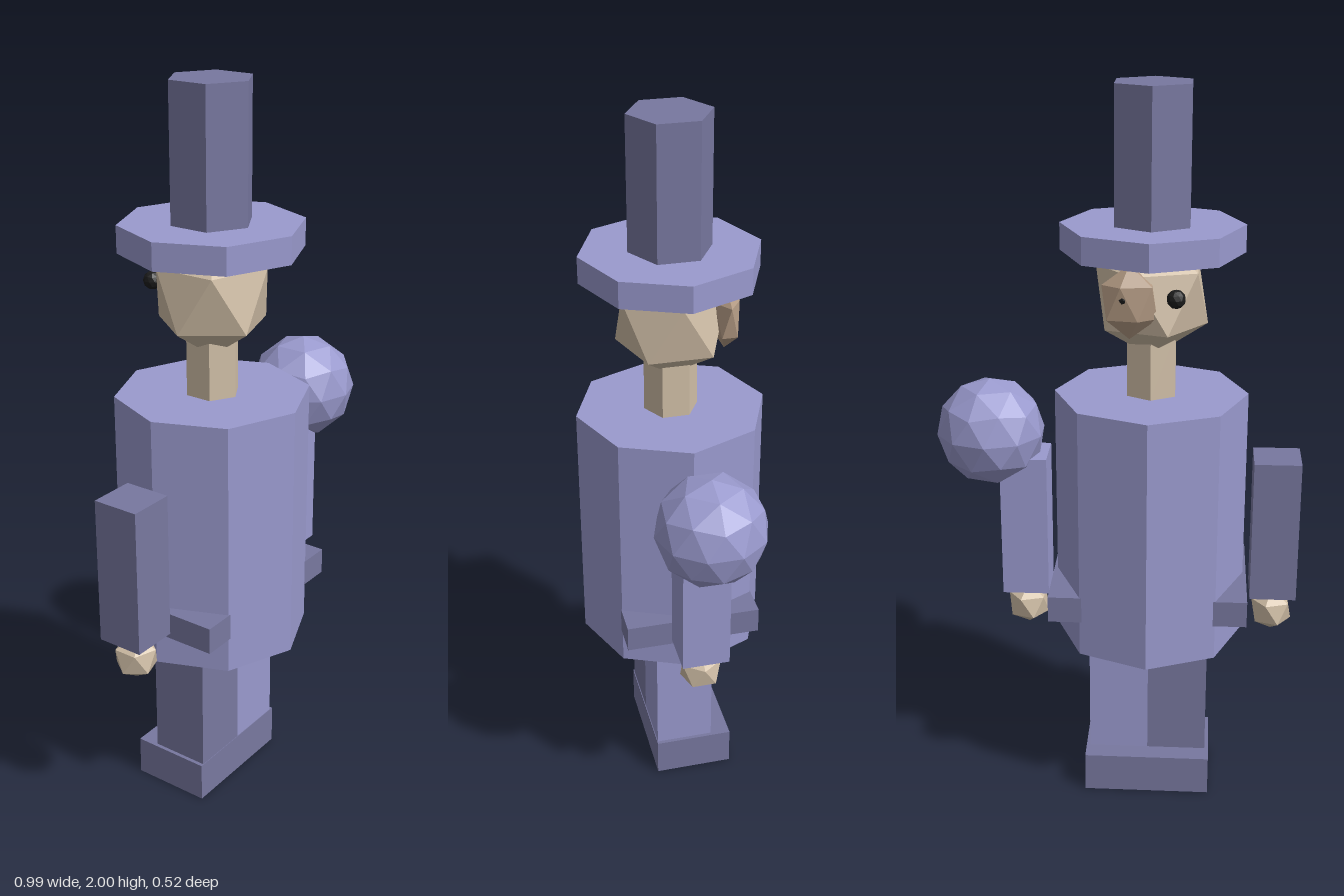
import * as THREE from 'three';

const COLORS = {
  light: 0x9a9ace, dark: 0x7878a0, skin: 0xd2c0a8, patch: 0xb59c85, black: 0x1c1c1c,
};

export function createModel() {
  const model = new THREE.Group();
  const figure = new THREE.Group();
  figure.name = 'figure';
  figure.position.x = -0.087;
  model.add(figure);

  const add = (name, geometry, color, x, y, z) => {
    const material = new THREE.MeshStandardMaterial({ color: COLORS[color], flatShading: true });
    const mesh = new THREE.Mesh(geometry, material);
    mesh.name = name;
    mesh.position.set(x, y, z);
    figure.add(mesh);
    return mesh;
  };
  // Upright prism between two heights, corners on the z axis
  const prism = (name, sides, r, y0, y1, color) =>
    add(name, new THREE.CylinderGeometry(r, r, y1 - y0, sides), color, 0, (y0 + y1) / 2, 0);
  const box = (name, w, y0, y1, d, color, x = 0, z = 0) =>
    add(name, new THREE.BoxGeometry(w, y1 - y0, d), color, x, (y0 + y1) / 2, z);
  // Icosphere turned so that a corner points straight up
  const poleTilt = -Math.atan(2 / (1 + Math.sqrt(5)));
  const ico = (r, detail = 0) => new THREE.IcosahedronGeometry(r, detail).rotateZ(poleTilt);

  // Coat and belt
  prism('coat', 8, 0.2625, 0.475, 1.183, 'light');
  box('belt', 0.544, 0.574, 0.648, 0.376, 'dark');

  // Feet share one block, toes towards the face side
  box('shoes', 0.355, 0, 0.113, 0.225, 'dark', 0, -0.0275);

  // Legs, arms and hands
  for (const [side, s, color] of [['left', 1, 'light'], ['right', -1, 'dark']]) {
    box(side + 'Leg', 0.167, 0.113, 0.475, 0.166, color, s * 0.0835);
    box(side + 'Arm', 0.129, 0.597, 1.003, 0.131, color, s * 0.347);
    add(side + 'Hand', ico(0.063), 'skin', s * 0.347, 0.538, 0);
    add(side + 'Eye', ico(0.025, 1), 'black', s * 0.066, 1.48, -0.143);
  }

  // Ball on the left shoulder
  add('shoulderBall', ico(0.149, 1), 'light', 0.44, 1.063, 0);

  // Neck, head and the flat oval over one eye
  prism('neck', 6, 0.074, 1.183, 1.36, 'skin');
  add('head', ico(0.166), 'skin', 0, 1.456, 0).scale.y = 1.04;
  add('eyePatch', ico(1), 'patch', 0.053, 1.468, -0.133).scale.set(0.08, 0.098, 0.04);

  // Tall hat
  prism('hatBrim', 8, 0.243, 1.57, 1.643, 'light');
  prism('hatCrown', 6, 0.112, 1.643, 2, 'dark');

  return model;
}
